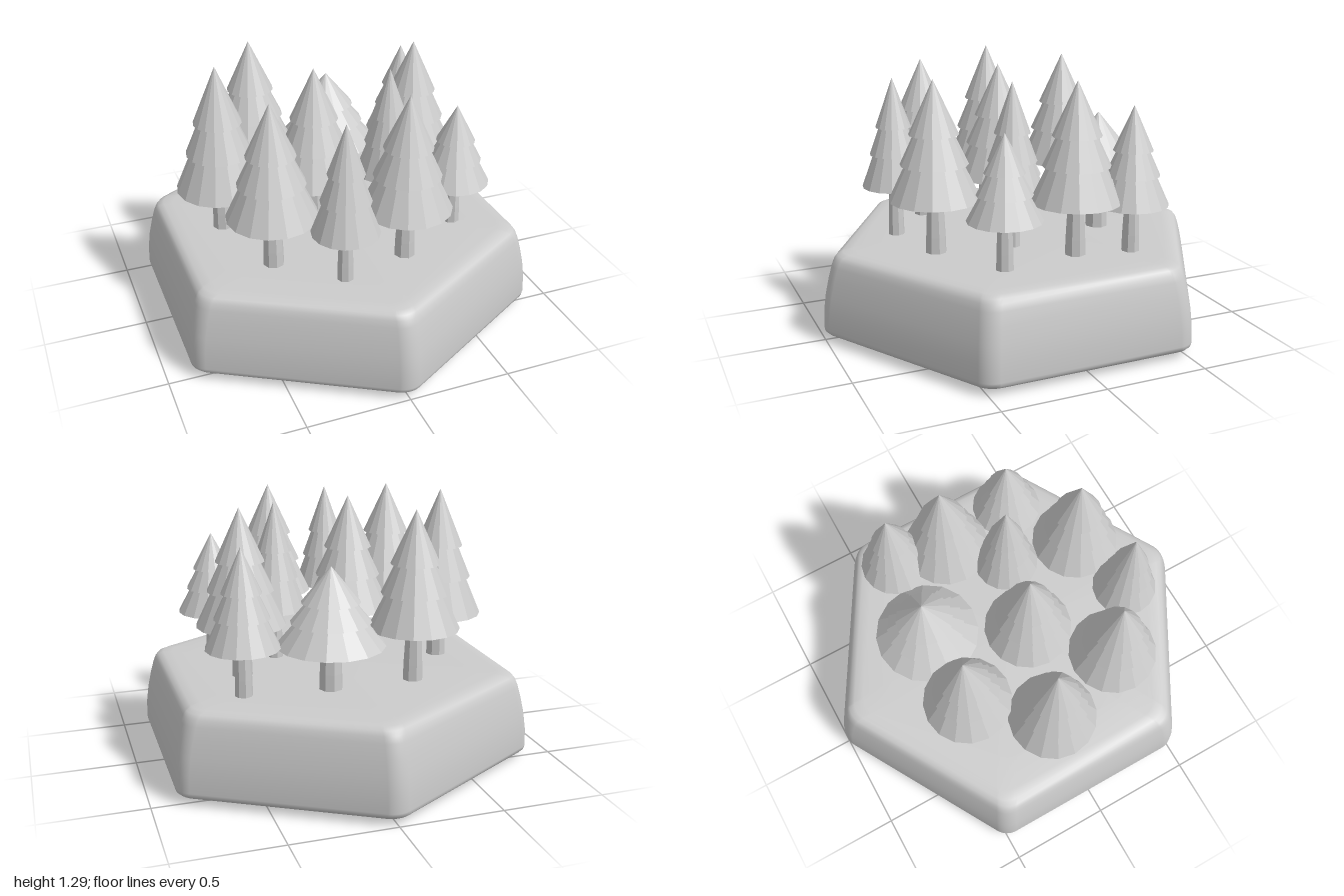
import * as THREE from 'three';

const flat = new THREE.MeshStandardMaterial({ color: 0xcccccc, flatShading: true });
const smooth = new THREE.MeshStandardMaterial({ color: 0xcccccc });

// x, z, skirt radius, skirt bottom y, tip y
const TREES = [
  [-0.295, -0.395, 0.217, 0.70, 1.265],
  [0.12, -0.40, 0.257, 0.655, 1.03],
  [0.53, -0.365, 0.175, 0.67, 1.14],
  [-0.555, -0.07, 0.217, 0.665, 1.295],
  [-0.11, 0.047, 0.217, 0.70, 1.265],
  [0.475, -0.10, 0.217, 0.70, 1.265],
  [0.25, 0.125, 0.16, 0.70, 1.24],
  [-0.425, 0.345, 0.217, 0.70, 1.265],
  [0.185, 0.49, 0.217, 0.70, 1.265],
  [0.535, 0.285, 0.175, 0.67, 1.07],
  [-0.155, 0.58, 0.16, 0.69, 1.225],
];

// Tiers as fractions of the foliage: bottom height, apex height, radius
const TIERS = [[0, 0.81, 1], [0.3, 0.905, 0.74], [0.55, 1, 0.54]];

function makeTree(x, z, radius, base, tip) {
  const tree = new THREE.Group();
  tree.name = 'tree';
  const h = tip - base;
  for (const [lo, hi, r] of TIERS) {
    const tier = new THREE.Mesh(new THREE.ConeGeometry(radius * r, (hi - lo) * h, 16), flat);
    tier.name = 'foliageTier';
    tier.position.y = base + ((lo + hi) / 2) * h;
    tree.add(tier);
  }
  // Tapered trunk, sunk slightly into the ground
  const rt = 0.012 + radius * 0.18;
  const profile = [[0, 0.42], [rt, 0.42], [rt * 0.95, 0.52], [rt * 0.83, 0.64], [rt * 0.78, base + 0.02]];
  const trunk = new THREE.Mesh(
    new THREE.LatheGeometry(profile.map(([r, y]) => new THREE.Vector2(r, y)), 8), flat);
  trunk.name = 'trunk';
  tree.add(trunk);
  tree.position.set(x, 0, z);
  return tree;
}

// Hexagonal slab: rounded-corner hexagon rings stacked along a curved profile
function makeSlab() {
  // apothem, y
  const profile = [
    [0.001, 0.002], [0.5, 0.008], [0.75, 0.016], [0.835, 0.024], [0.865, 0.035], [0.877, 0.048],
    [0.88, 0.065], [0.876, 0.15], [0.866, 0.23], [0.85, 0.31], [0.835, 0.37], [0.824, 0.4],
    [0.81, 0.42], [0.785, 0.432], [0.74, 0.437], [0.6, 0.44], [0.001, 0.444],
  ];
  const STEPS = 8, N = 6 * (STEPS + 1);
  const pos = [], index = [];
  profile.forEach(([a, y], i) => {
    const r = Math.min(0.1, a * 0.3);
    const d = (a - r) / Math.cos(Math.PI / 6);
    for (let c = 0; c < 6; c++) {
      const t = (c * Math.PI) / 3;
      for (let s = 0; s <= STEPS; s++) {
        const u = t + (s / STEPS - 0.5) * (Math.PI / 3);
        pos.push(d * Math.sin(t) + r * Math.sin(u), y, d * Math.cos(t) + r * Math.cos(u));
      }
    }
    if (i === 0) return;
    for (let j = 0; j < N; j++) {
      const k = (j + 1) % N, lo = (i - 1) * N, hi = i * N;
      index.push(lo + j, lo + k, hi + k, lo + j, hi + k, hi + j);
    }
  });
  const geo = new THREE.BufferGeometry();
  geo.setAttribute('position', new THREE.Float32BufferAttribute(pos, 3));
  geo.setIndex(index);
  geo.computeVertexNormals();
  const slab = new THREE.Mesh(geo, smooth);
  slab.name = 'groundTile';
  return slab;
}

export function createModel() {
  const model = new THREE.Group();
  model.name = 'forestTile';
  model.add(makeSlab());
  for (const t of TREES) model.add(makeTree(...t));
  return model;
}
